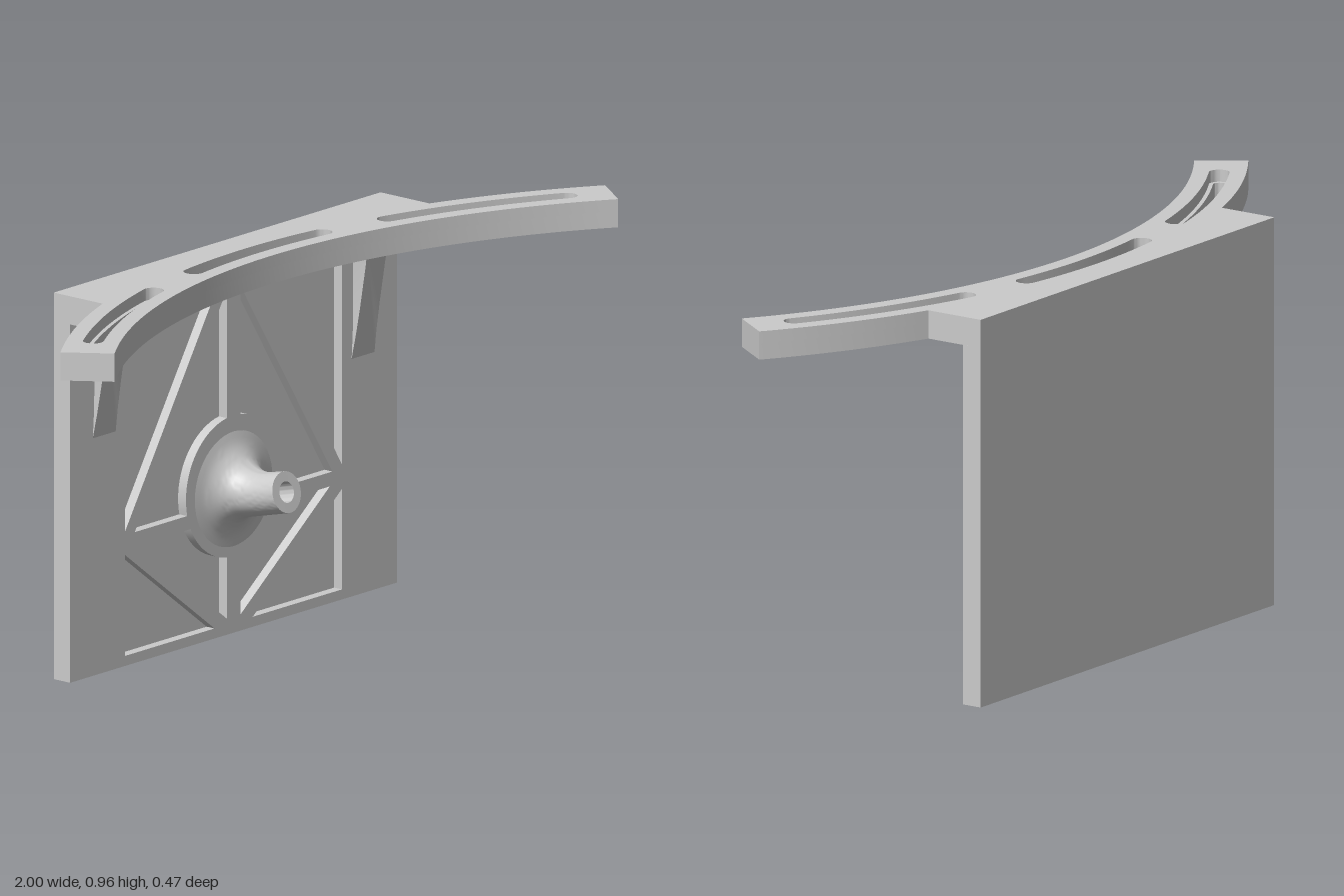
import * as THREE from 'three';
import { toCreasedNormals } from 'three/addons/utils/BufferGeometryUtils.js';

const material = new THREE.MeshStandardMaterial({ color: 0xcccccc });
const V = (x, y) => new THREE.Vector2(x, y);

function addMesh(group, name, geometry) {
  const mesh = new THREE.Mesh(geometry, material);
  mesh.name = name;
  group.add(mesh);
  return mesh;
}

// Straight extrusion of an outline with holes, curved walls smoothed
function extrude(outline, depth, holes = []) {
  const shape = new THREE.Shape(outline);
  shape.holes = holes.map((h) => new THREE.Path(h));
  const geometry = new THREE.ExtrudeGeometry(shape, { depth, bevelEnabled: false });
  return toCreasedNormals(geometry, 0.4);
}

// Points along an arc; the angle is measured from +y towards +x
function arc(r, from, to, cy, n = 32, cx = 0) {
  return Array.from({ length: n + 1 }, (_, i) => {
    const a = from + ((to - from) * i) / n;
    return V(cx + r * Math.sin(a), cy + r * Math.cos(a));
  });
}

// Line along the middle of the flange, passing round one side of each slot
const ARC_CY = -1.538, SLOT_R = 1.663, END = 0.617, SIDE = 0.3545;
function slotLine(w, k) {
  const [start, end] = arc(SLOT_R, -END, END, ARC_CY, 1);
  const quarter = Math.PI / 2;
  const slots = [[-0.55, -0.261], [-0.142, 0.142], [0.261, 0.55]].flatMap(([a, b]) => {
    const [ca, cb] = arc(SLOT_R, a, b, ARC_CY, 1);
    return [
      ...arc(w, a - quarter, a - quarter + k * quarter, ca.y, 8, ca.x),
      ...arc(SLOT_R + k * w, a, b, ARC_CY, 20).slice(1, -1),
      ...arc(w, b + quarter - k * quarter, b + quarter, cb.y, 8, cb.x),
    ];
  });
  return [start, ...slots, end];
}

// Skin through elliptical rings, each given as [topZ, topY, bottomZ, bottomY]
function loft(rings, n = 48) {
  const positions = [], index = [];
  rings.forEach(([tz, ty, bz, by], i) => {
    const hy = (ty - by) / 2, hz = (tz - bz) / 2, r = Math.hypot(hy, hz);
    for (let j = 0; j <= n; j++) {
      const a = (j / n) * Math.PI * 2, s = Math.sin(a);
      positions.push(r * Math.cos(a), (ty + by) / 2 + hy * s, (tz + bz) / 2 + hz * s);
      if (i && j) {
        const d = i * (n + 1) + j, c = d - 1, b = d - n - 1, e = b - 1;
        index.push(e, b, d, e, d, c);
      }
    }
  });
  const geometry = new THREE.BufferGeometry();
  geometry.setAttribute('position', new THREE.Float32BufferAttribute(positions, 3));
  geometry.setIndex(index);
  return toCreasedNormals(geometry, 0.7);
}

export function createModel() {
  const model = new THREE.Group();
  model.name = 'mountingBracket';

  // Curved top flange: narrow slots below, wider stepped recess above,
  // each layer made of an outer and an inner band meeting along the slots
  const outerEdge = [
    ...arc(1.728, -END, -SIDE, ARC_CY, 16), V(-0.6, 0.237), V(0.6, 0.237),
    ...arc(1.728, SIDE, END, ARC_CY, 16),
  ];
  const innerEdge = arc(1.598, -END, END, ARC_CY, 64);
  for (const [layer, y, depth, w] of [['Lower', 0.89, 0.04, 0.015], ['Upper', 0.93, 0.03, 0.025]]) {
    for (const [band, edge, k] of [['outer', outerEdge, 1], ['inner', innerEdge, -1]]) {
      const outline = [...edge, ...slotLine(w, k).reverse()];
      const flange = addMesh(model, `${band}Flange${layer}`, extrude(outline, depth));
      flange.rotation.x = -Math.PI / 2;
      flange.position.y = y;
    }
  }

  // Back plate
  const back = addMesh(model, 'backPlate', new THREE.BoxGeometry(1.2, 0.89, 0.027));
  back.position.set(0, 0.445, -0.2235);

  // Ribbed front layer: pockets leave diagonal ribs, a cross and a round pad
  const PAD_Y = 0.365, PAD_R = 0.175;
  const angle = (x, y) => Math.atan2(x, y - PAD_Y);
  const rightPockets = [
    [V(0.063, 0.865), V(0.398, 0.865), V(0.398, 0.335)],
    [V(0.398, 0.275), V(0.398, 0.025), V(0.07, 0.025)],
    [V(0.025, 0.857), ...arc(PAD_R, angle(0.025, 0.5382), angle(0.1704, 0.325), PAD_Y, 20), V(0.363, 0.325)],
    [V(0.353, 0.29), ...arc(PAD_R, angle(0.158, 0.29), angle(0.025, 0.1918), PAD_Y, 14), V(0.025, 0.04)],
  ];
  const pockets = rightPockets.flatMap((p) => [p, p.map((v) => V(-v.x, v.y))]);
  const plateOutline = [V(-0.6, 0), V(0.6, 0), V(0.6, 0.89), V(-0.6, 0.89)];
  addMesh(model, 'ribbedFront', extrude(plateOutline, 0.025, pockets)).position.z = -0.21;

  // Tilted boss flaring into the pad, with a blind bore
  const upper = new THREE.SplineCurve([
    V(-0.185, 0.5), V(-0.175, 0.467), V(-0.155, 0.438), V(-0.128, 0.421), V(-0.098, 0.415), V(-0.065, 0.42), V(-0.03, 0.428),
  ]).getPoints(24);
  const lower = new THREE.SplineCurve([
    V(-0.185, 0.215), V(-0.179, 0.248), V(-0.163, 0.277), V(-0.142, 0.294), V(-0.115, 0.302), V(-0.06, 0.316), V(-0.005, 0.33),
  ]).getPoints(24);
  const bossRings = upper.map((p, i) => [p.x, p.y, lower[i].x, lower[i].y]);
  bossRings.push(
    [-0.024, 0.404, -0.011, 0.354], [-0.14, 0.374, -0.127, 0.324], [-0.1335, 0.349, -0.1335, 0.349],
  );
  addMesh(model, 'boss', loft(bossRings));

  // Gussets under the flange: flared sides, front face sloping back to the plate
  const half = [V(0.042, 0.59), V(0.038, 0.65), V(0.036, 0.72), V(0.036, 0.83), V(0.039, 0.87), V(0.046, 0.89)];
  const gussetOutline = [...half, ...half.map((p) => V(-p.x, p.y)).reverse()];
  const wedge = extrude(gussetOutline, 0.05);
  const pos = wedge.attributes.position;
  for (let i = 0; i < pos.count; i++) {
    if (pos.getZ(i) > 0) pos.setZ(i, (0.05 * (pos.getY(i) - 0.59)) / 0.3);
  }
  const gussetGeometry = toCreasedNormals(wedge, 0.4);
  for (const [name, x] of [['leftGusset', 0.475], ['rightGusset', -0.475]]) {
    addMesh(model, name, gussetGeometry).position.set(x, 0, -0.185);
  }
  return model;
}
